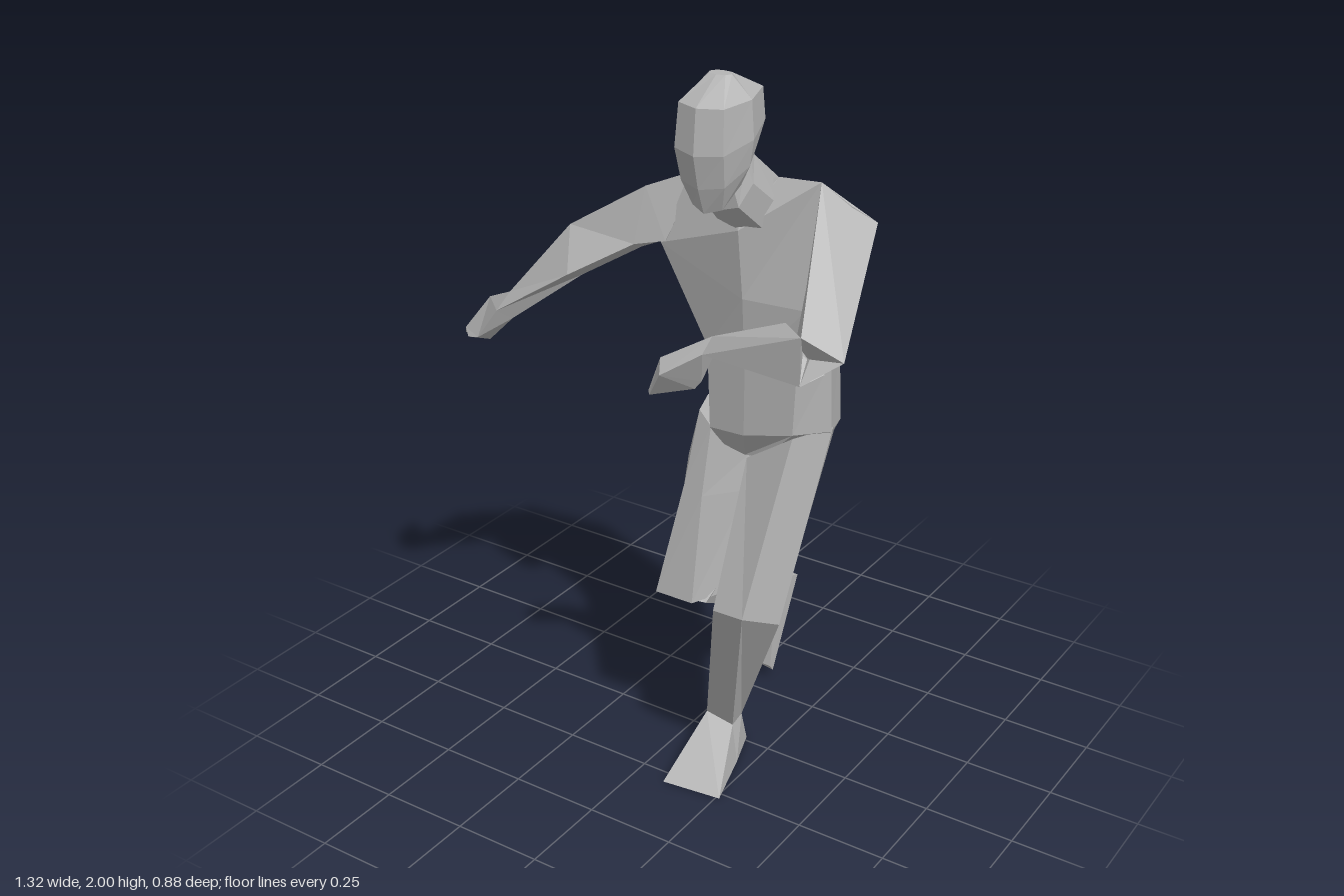
import * as THREE from 'three';

const grey = new THREE.MeshStandardMaterial({ color: 0xb4b4b4 });
grey.name = 'clay grey';

// Skins a list of cross-sections with flat facets and closes both ends.
function loft(name, rings) {
  const tris = [];
  const n = rings[0].length;
  const mid = (r) => [0, 1, 2].map((k) => r.reduce((s, p) => s + p[k], 0) / n);
  for (let i = 0; i < rings.length - 1; i++) {
    for (let j = 0; j < n; j++) {
      const k = (j + 1) % n;
      const a = rings[i][j], b = rings[i][k], c = rings[i + 1][k], d = rings[i + 1][j];
      tris.push([a, b, c], [a, c, d]);
    }
  }
  const first = rings[0], last = rings[rings.length - 1];
  const m0 = mid(first), m1 = mid(last);
  for (let j = 0; j < n; j++) {
    const k = (j + 1) % n;
    tris.push([m0, first[k], first[j]], [m1, last[j], last[k]]);
  }
  // Turn the faces outward using the signed volume
  const v = (p) => new THREE.Vector3(...p);
  const volume = tris.reduce((s, [a, b, c]) => s + v(a).dot(v(b).cross(v(c))), 0);
  const out = volume < 0 ? tris.map(([a, b, c]) => [a, c, b]) : tris;
  const geo = new THREE.BufferGeometry();
  geo.setAttribute('position', new THREE.Float32BufferAttribute(out.flat(2), 3));
  geo.computeVertexNormals();
  const mesh = new THREE.Mesh(geo, grey);
  mesh.name = name;
  return mesh;
}

// Symmetric tilted eight-sided section for the head and neck
function headRing(yFront, zFront, yBack, zBack, w) {
  const shape = [[0, 0], [0.75, 0.1], [1, 0.5], [0.65, 0.93], [0, 1], [-0.65, 0.93], [-1, 0.5], [-0.75, 0.1]];
  return shape.map(([s, t]) => [0.235 + s * w, yFront + (yBack - yFront) * t, zFront + (zBack - zFront) * t]);
}

export function createModel() {
  const figure = new THREE.Group();
  figure.name = 'runningFigure';

  // Head and neck
  figure.add(loft('head', [
    headRing(1.68, 0.315, 1.80, 0.165, 0.055),
    headRing(1.745, 0.34, 1.835, 0.145, 0.08),
    headRing(1.83, 0.36, 1.88, 0.125, 0.09),
    headRing(1.94, 0.35, 1.955, 0.13, 0.082),
    headRing(2.0, 0.265, 2.0, 0.225, 0.03),
  ]));
  figure.add(loft('neck', [
    headRing(1.60, 0.17, 1.72, 0.06, 0.085),
    headRing(1.67, 0.25, 1.80, 0.155, 0.065),
    headRing(1.75, 0.27, 1.84, 0.16, 0.05),
  ]));

  // Torso sections: right side, right front, front, left front, left side, left back, back, right back
  figure.add(loft('torso', [
    [[0.09, 0.98, 0], [0.15, 0.97, 0.09], [0.21, 0.95, 0.08], [0.28, 0.97, 0.10],
      [0.40, 0.98, 0.02], [0.34, 0.97, -0.10], [0.23, 0.94, -0.08], [0.13, 0.97, -0.10]],
    [[0.05, 1.03, 0], [0.135, 1.03, 0.13], [0.24, 1.035, 0.135], [0.38, 1.07, 0.13],
      [0.43, 1.05, 0.02], [0.38, 1.02, -0.12], [0.21, 1.01, -0.15], [0.10, 1.03, -0.11]],
    [[0.09, 1.25, 0.02], [0.12, 1.25, 0.12], [0.25, 1.23, 0.15], [0.39, 1.28, 0.13],
      [0.43, 1.25, 0.03], [0.38, 1.25, -0.10], [0.26, 1.24, -0.11], [0.13, 1.25, -0.09]],
    [[-0.01, 1.50, 0.03], [-0.02, 1.50, 0.12], [0.25, 1.42, 0.165], [0.42, 1.42, 0.15],
      [0.46, 1.42, 0.08], [0.46, 1.45, -0.01], [0.25, 1.45, -0.09], [0.04, 1.47, -0.05]],
    [[-0.05, 1.64, -0.02], [0.04, 1.70, 0.065], [0.245, 1.60, 0.18], [0.43, 1.735, 0.107],
      [0.50, 1.68, 0.08], [0.55, 1.64, 0.045], [0.25, 1.635, -0.07], [-0.04, 1.64, -0.03]],
    [[0.13, 1.70, 0.08], [0.15, 1.71, 0.10], [0.245, 1.62, 0.17], [0.31, 1.725, 0.10],
      [0.33, 1.72, 0.09], [0.31, 1.71, 0.07], [0.235, 1.72, 0.07], [0.15, 1.71, 0.07]],
  ]));

  // Right arm, swung out: top, back, bottom, front
  const rightWrist = [[-0.49, 1.275, 0.15], [-0.50, 1.255, 0.14], [-0.46, 1.215, 0.18], [-0.49, 1.24, 0.21]];
  figure.add(loft('rightArm', [
    [[0.06, 1.69, 0.06], [-0.03, 1.63, -0.03], [0, 1.50, 0.03], [0, 1.51, 0.13]],
    [[-0.10, 1.62, 0.07], [-0.14, 1.57, 0], [-0.12, 1.45, 0.06], [-0.10, 1.48, 0.125]],
    [[-0.335, 1.475, 0.08], [-0.345, 1.44, 0.04], [-0.27, 1.36, 0.12], [-0.27, 1.38, 0.185]],
    rightWrist,
  ]));
  figure.add(loft('rightHand', [
    rightWrist,
    [[-0.61, 1.215, 0.09], [-0.63, 1.18, 0.10], [-0.55, 1.13, 0.17], [-0.555, 1.15, 0.215]],
    [[-0.66, 1.13, 0.14], [-0.66, 1.115, 0.14], [-0.60, 1.12, 0.16], [-0.61, 1.13, 0.19]],
  ]));

  // Left arm, folded across the chest
  figure.add(loft('leftUpperArm', [
    [[0.43, 1.735, 0.107], [0.55, 1.64, 0.045], [0.46, 1.43, 0.03], [0.42, 1.48, 0.15]],
    [[0.57, 1.485, 0.43], [0.66, 1.43, 0.39], [0.575, 1.37, 0.44], [0.49, 1.40, 0.32]],
  ]));
  const leftWrist = [[0.27, 1.385, 0.33], [0.26, 1.345, 0.36], [0.27, 1.335, 0.32], [0.30, 1.36, 0.30]];
  figure.add(loft('leftForearm', [
    [[0.57, 1.485, 0.43], [0.575, 1.37, 0.44], [0.60, 1.38, 0.37], [0.47, 1.465, 0.33]],
    leftWrist,
  ]));
  figure.add(loft('leftHand', [
    leftWrist,
    [[0.14, 1.31, 0.36], [0.16, 1.28, 0.395], [0.24, 1.26, 0.33], [0.20, 1.30, 0.29]],
    [[0.10, 1.21, 0.355], [0.11, 1.205, 0.365], [0.22, 1.235, 0.33], [0.20, 1.25, 0.29]],
  ]));

  // Left leg, standing: front inner, front outer, outer, back, inner
  const leftAnkle = [[0.10, 0.12, 0.085], [0.185, 0.105, 0.085], [0.18, 0.11, 0.03], [0.14, 0.11, -0.01], [0.09, 0.115, 0.02]];
  figure.add(loft('leftLeg', [
    [[0.235, 0.96, 0.11], [0.38, 1.06, 0.13], [0.43, 1.06, 0.01], [0.36, 1.01, -0.14], [0.235, 0.94, -0.05]],
    [[0.25, 0.60, 0.29], [0.35, 0.615, 0.31], [0.395, 0.56, 0.20], [0.36, 0.56, 0.125], [0.25, 0.56, 0.16]],
    leftAnkle,
  ]));
  figure.add(loft('leftFoot', [
    leftAnkle,
    [[0.09, 0, 0.29], [0.26, 0, 0.27], [0.21, 0, 0.10], [0.17, 0, -0.015], [0.10, 0, -0.015]],
  ]));

  // Right leg, bent with the shin kicked back
  figure.add(loft('rightThigh', [
    [[0.135, 1.03, 0.125], [0.09, 1.06, 0.11], [0.045, 1.05, 0], [0.12, 1.02, -0.13], [0.20, 0.94, -0.02]],
    [[0.13, 0.84, 0.16], [0.07, 0.86, 0.15], [0.01, 0.88, 0.04], [0.08, 0.85, -0.04], [0.19, 0.82, 0.03]],
    [[0.125, 0.535, 0.20], [0.01, 0.535, 0.20], [0.005, 0.56, 0.12], [0.08, 0.57, 0.08], [0.165, 0.54, 0.12]],
  ]));
  figure.add(loft('rightShin', [
    [[0.01, 0.57, 0.12], [0.16, 0.57, 0.12], [0.15, 0.53, 0.17], [0.01, 0.535, 0.20]],
    [[0.015, 0.57, -0.04], [0.10, 0.57, -0.04], [0.12, 0.45, 0.03], [0, 0.45, 0.03]],
    [[-0.02, 0.335, -0.34], [0.07, 0.335, -0.34], [0.08, 0.28, -0.30], [-0.03, 0.26, -0.30]],
  ]));
  figure.add(loft('rightFoot', [
    [[-0.015, 0.30, -0.44], [0.08, 0.30, -0.44], [0.075, 0.335, -0.33], [-0.03, 0.335, -0.33]],
    [[-0.08, 0.05, -0.32], [0.075, 0.03, -0.315], [0.075, 0.05, -0.30], [-0.085, 0.06, -0.30]],
  ]));

  return figure;
}
